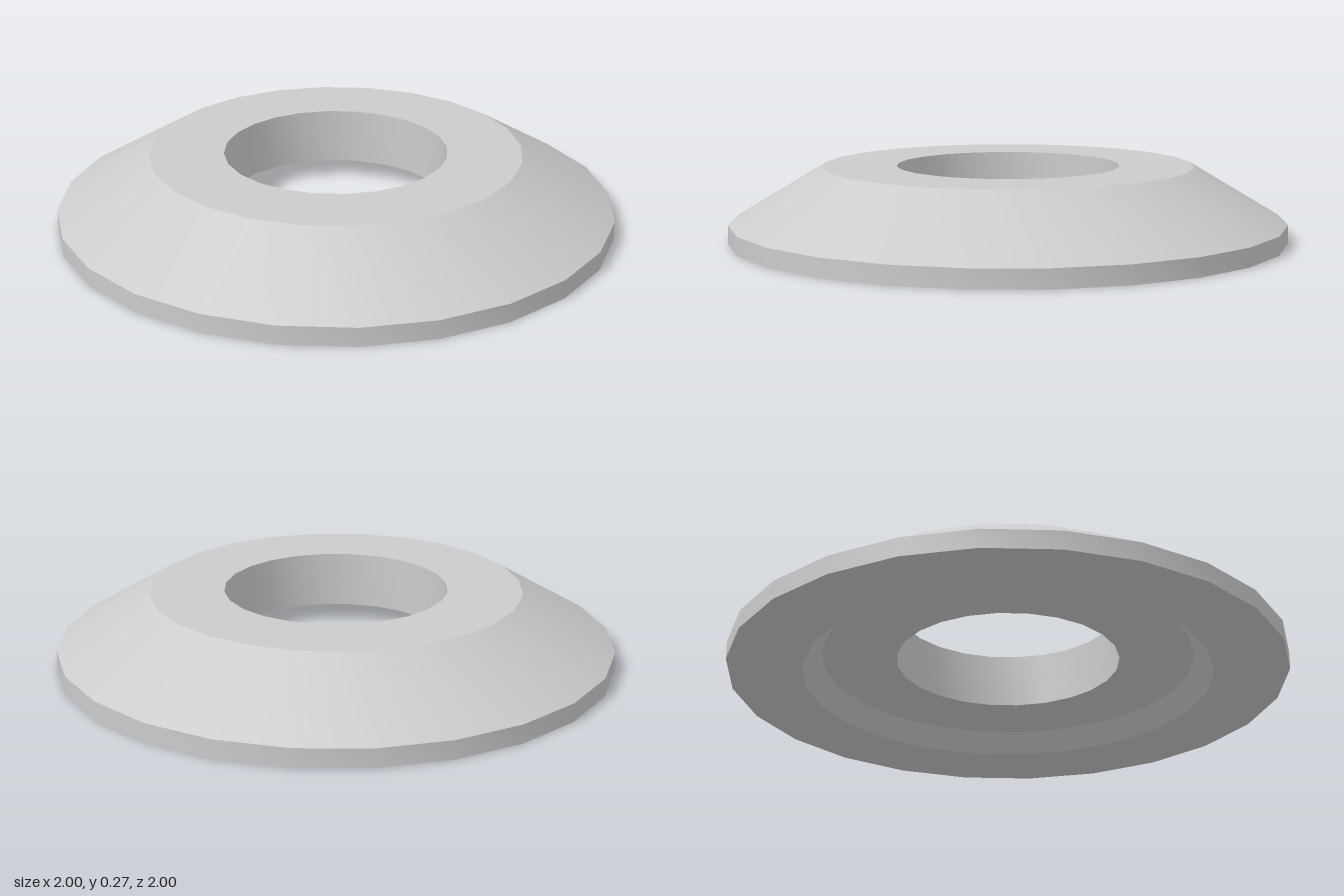
import * as THREE from 'three';
import { toCreasedNormals } from 'three/addons/utils/BufferGeometryUtils.js';

const SIDES = 24;
const OUTER = 1, TOP = 0.667, HOLE = 0.4;   // radii
const RECESS_RIM = 0.733, RECESS = 0.667;   // recess radii at the base and at its ceiling
const RIM_H = 0.067, HEIGHT = 0.267;

export function createModel() {
  const group = new THREE.Group();
  group.name = 'bevelledWasher';

  // Closed cross-section, counter-clockwise from the outer bottom edge
  const profile = [
    [OUTER, 0], [OUTER, RIM_H],           // vertical rim
    [TOP, HEIGHT], [HOLE, HEIGHT],        // sloped flank, flat top
    [HOLE, RIM_H], [RECESS, RIM_H],       // hole wall, recess ceiling
    [RECESS_RIM, 0], [OUTER, 0],          // flared recess wall, base
  ].map(([r, y]) => new THREE.Vector2(r, y));

  // Smooth around the axis, sharp between the profile's faces
  const geometry = toCreasedNormals(new THREE.LatheGeometry(profile, SIDES), 0.4);
  const ring = new THREE.Mesh(geometry, new THREE.MeshStandardMaterial({ color: 0xcccccc }));
  ring.name = 'washerRing';
  group.add(ring);
  return group;
}
